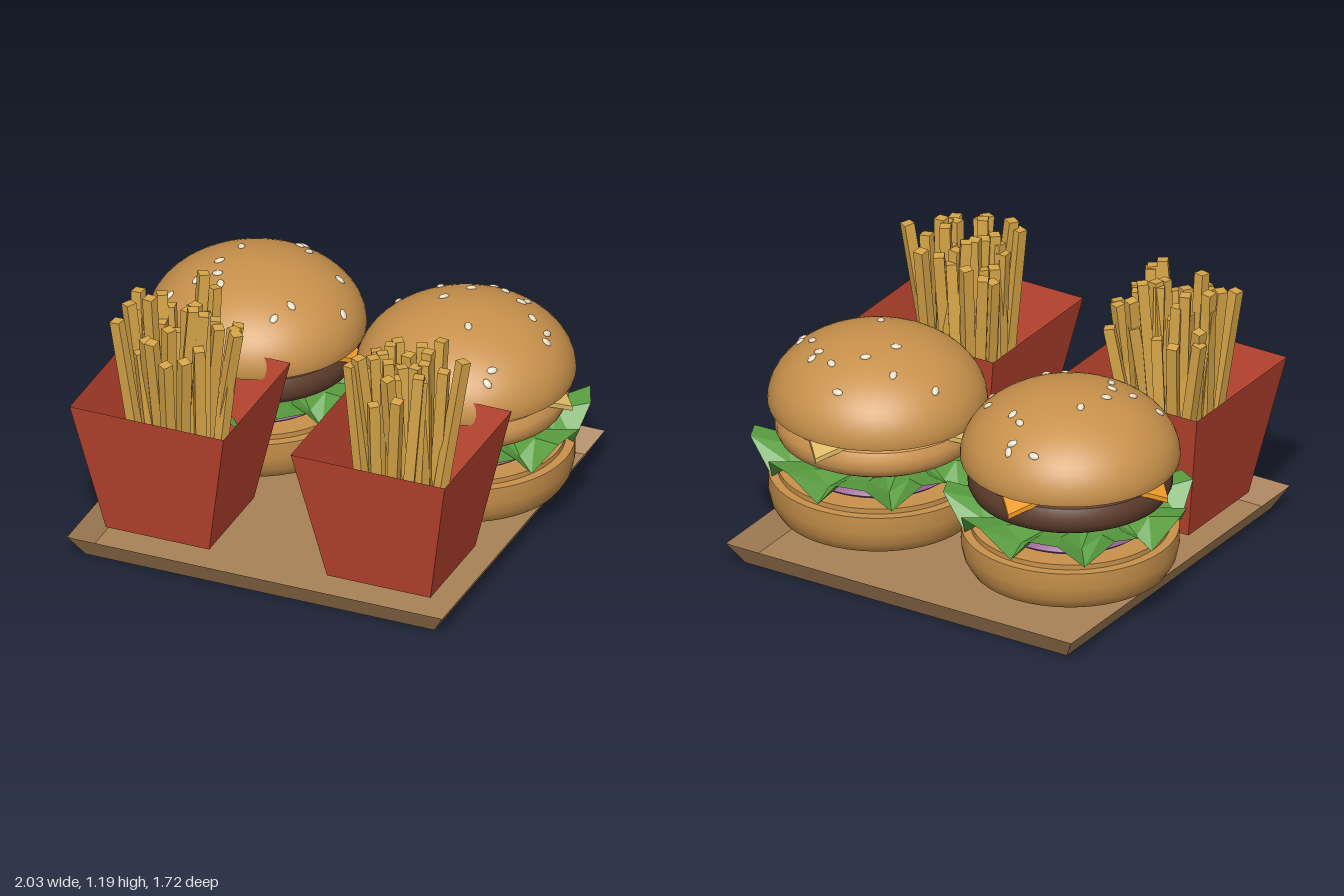
import * as THREE from 'three';
import { toCreasedNormals } from 'three/addons/utils/BufferGeometryUtils.js';

const mat = (color, opts = {}) => {
  const m = new THREE.MeshStandardMaterial(opts);
  m.color.setHex(color);
  return m;
};
const thin = { side: THREE.DoubleSide, flatShading: true };
const M = {
  tray: mat(0xa98258, thin), carton: mat(0xbd4530, thin), lettuce: mat(0x5a9e40, thin),
  bun: mat(0xc8914b), seed: mat(0xe6dcc4), onion: mat(0x955a90),
  fry: mat(0xd6a548, { flatShading: true }),
  beef: mat(0x5e3d2c), chicken: mat(0xcf9650),
  orangeCheese: mat(0xee9a28, { flatShading: true }), paleCheese: mat(0xdcb964, { flatShading: true }),
};

function add(parent, name, geometry, material) {
  const mesh = new THREE.Mesh(geometry, material);
  mesh.name = name;
  parent.add(mesh);
  return mesh;
}

function seeded(s) {
  return () => (s = (s * 16807) % 2147483647) / 2147483647;
}

// Open square container with sloping sides and a flat floor
function container(name, bottom, top, y0, y1, material) {
  const g = new THREE.Group();
  g.name = name;
  const k = Math.SQRT2;
  const walls = new THREE.CylinderGeometry(top * k, bottom * k, y1 - y0, 4, 1, true);
  walls.rotateY(Math.PI / 4).translate(0, (y0 + y1) / 2, 0);
  add(g, name + 'Walls', walls, material);
  const floor = new THREE.PlaneGeometry(bottom * 2, bottom * 2);
  floor.rotateX(-Math.PI / 2).translate(0, y0, 0);
  add(g, name + 'Floor', floor, material);
  return g;
}

// Round solid from a bottom-to-top profile, keeping sharp rims
function turned(points) {
  const lathe = new THREE.LatheGeometry(points.map(([r, y]) => new THREE.Vector2(r, y)), 48);
  return toCreasedNormals(lathe, 0.7);
}

const DOME = { r: 0.465, y: 0.635, h: 0.305 };

function domeProfile() {
  const pts = [[0, 0.62], [0.462, 0.62]];
  for (let i = 0; i <= 16; i++) {
    const a = (i / 16) * Math.PI / 2;
    pts.push([i === 16 ? 0 : DOME.r * Math.cos(a), DOME.y + DOME.h * Math.sin(a)]);
  }
  return pts;
}

// Frilled ring: two raised outer points then a low one for each lobe
function lettuceGeometry() {
  const lobes = 9, n = lobes * 3, pos = [], idx = [];
  for (let i = 0; i < n; i++) {
    const phase = i % 3;
    const a = ((Math.floor(i / 3) + [-0.17, 0.17, 0.5][phase]) / lobes) * Math.PI * 2 + 0.52;
    const low = phase === 2;
    const wobble = 0.015 * Math.sin(i * 2.3);
    const ring = [[0.24, 0.41], [0.38, low ? 0.38 : 0.435], [low ? 0.465 : 0.525 + wobble, low ? 0.335 : 0.465 + wobble]];
    for (const [r, y] of ring) pos.push(r * Math.cos(a), y, -r * Math.sin(a));
  }
  for (let i = 0; i < n; i++) {
    for (let j = 0; j < 2; j++) {
      const a = i * 3 + j, b = ((i + 1) % n) * 3 + j;
      idx.push(a, a + 1, b, b, a + 1, b + 1);
    }
  }
  const g = new THREE.BufferGeometry();
  g.setAttribute('position', new THREE.Float32BufferAttribute(pos, 3));
  g.setIndex(idx);
  g.computeVertexNormals();
  return g;
}

// Square slice turned on its point, with drooping corners
function cheeseGeometry() {
  const g = new THREE.BoxGeometry(0.69, 0.022, 0.69, 12, 1, 12);
  g.rotateY(Math.PI / 4);
  const p = g.attributes.position;
  for (let i = 0; i < p.count; i++) {
    const r = Math.hypot(p.getX(i), p.getZ(i));
    p.setY(i, p.getY(i) + 0.612 - Math.max(0, r - 0.38) * 0.6);
  }
  return g;
}

function burger(name, cx, pattyMaterial, cheeseMaterial, seeds) {
  const g = new THREE.Group(), cz = -0.268;
  g.name = name;
  g.position.set(cx, 0, cz);
  add(g, 'bottomBun', turned([[0, 0.1], [0.37, 0.1], [0.42, 0.125], [0.448, 0.17], [0.461, 0.23],
    [0.46, 0.302], [0.42, 0.302], [0.42, 0.325], [0, 0.325]]), M.bun);
  add(g, 'onion', turned([[0, 0.325], [0.32, 0.325], [0.345, 0.345], [0.33, 0.365], [0.29, 0.375],
    [0.27, 0.4], [0, 0.4]]), M.onion);
  add(g, 'lettuce', lettuceGeometry(), M.lettuce);
  add(g, 'patty', turned([[0, 0.455], [0.38, 0.455], [0.415, 0.475], [0.432, 0.51], [0.432, 0.55],
    [0.415, 0.585], [0.375, 0.602], [0, 0.602]]), pattyMaterial);
  add(g, 'cheese', cheeseGeometry(), cheeseMaterial);
  add(g, 'topBun', turned(domeProfile()), M.bun);

  // Sesame seeds laid on the dome
  const seedGeo = new THREE.SphereGeometry(1, 10, 6).scale(0.024, 0.009, 0.016);
  const up = new THREE.Vector3(0, 1, 0);
  seeds.forEach(([wx, wz], i) => {
    const x = wx - cx, z = wz - cz;
    const h = Math.sqrt(Math.max(0.02, 1 - (x * x + z * z) / DOME.r ** 2));
    const normal = new THREE.Vector3(x / DOME.r ** 2, h / DOME.h, z / DOME.r ** 2).normalize();
    const seed = add(g, 'seed', seedGeo, M.seed);
    seed.position.set(x, DOME.y + DOME.h * h + 0.002, z);
    seed.quaternion.setFromUnitVectors(up, normal);
    seed.rotateY(i * 1.9);
  });
  return g;
}

// Carton with a loose bundle of square-cut fries
function friesBox(name, cx, seed, spread, tallest) {
  const g = container(name, 0.237, 0.353, 0.1, 0.72, M.carton);
  g.position.set(cx, 0, 0.48);
  const rnd = seeded(seed), count = 36;
  const up = new THREE.Vector3(0, 1, 0);
  for (let i = 0; i < count; i++) {
    const a = i * 2.4, r = Math.sqrt((i + 0.5) / count);
    const base = new THREE.Vector3(Math.cos(a) * r * 0.16, 0.25 + rnd() * 0.12, Math.sin(a) * r * 0.17);
    const tip = new THREE.Vector3(
      Math.cos(a) * r * spread + (rnd() - 0.5) * 0.13,
      0.93 + (tallest - 0.93) * rnd() ** 0.9,
      Math.sin(a) * r * spread + (rnd() - 0.5) * 0.15);
    const dir = tip.clone().sub(base);
    const fry = add(g, 'fry', new THREE.BoxGeometry(0.046, dir.length(), 0.046), M.fry);
    fry.position.copy(base).add(tip).multiplyScalar(0.5);
    fry.quaternion.setFromUnitVectors(up, dir.normalize());
    fry.rotateY(rnd() * 1.5);
  }
  return g;
}

export function createModel() {
  const model = new THREE.Group();
  model.name = 'burgerMeal';
  model.add(container('tray', 0.8, 0.86, 0, 0.1, M.tray));
  model.add(burger('beefBurger', -0.48, M.beef, M.orangeCheese, [
    [-0.54, -0.65], [-0.42, -0.66], [-0.42, -0.63], [-0.4, -0.54], [-0.34, -0.5], [-0.16, -0.41],
    [-0.59, -0.36], [-0.63, -0.22], [-0.07, -0.24], [-0.68, -0.09], [-0.6, -0.13], [-0.56, -0.07],
    [-0.78, -0.04], [-0.24, -0.08], [-0.28, 0.01]]));
  model.add(burger('chickenBurger', 0.48, M.chicken, M.paleCheese, [
    [0.45, -0.63], [0.28, -0.46], [0.43, -0.44], [0.55, -0.52], [0.66, -0.5], [0.65, -0.46],
    [0.12, -0.38], [0.36, -0.31], [0.74, -0.37], [0.82, -0.34], [0.84, -0.29], [0.55, -0.13],
    [0.72, 0.01], [0.72, 0.06], [0.49, 0.14]]));
  model.add(friesBox('rightFriesBox', -0.507, 4711, 0.25, 1.2));
  model.add(friesBox('leftFriesBox', 0.507, 1234, 0.21, 1.14));
  return model;
}
